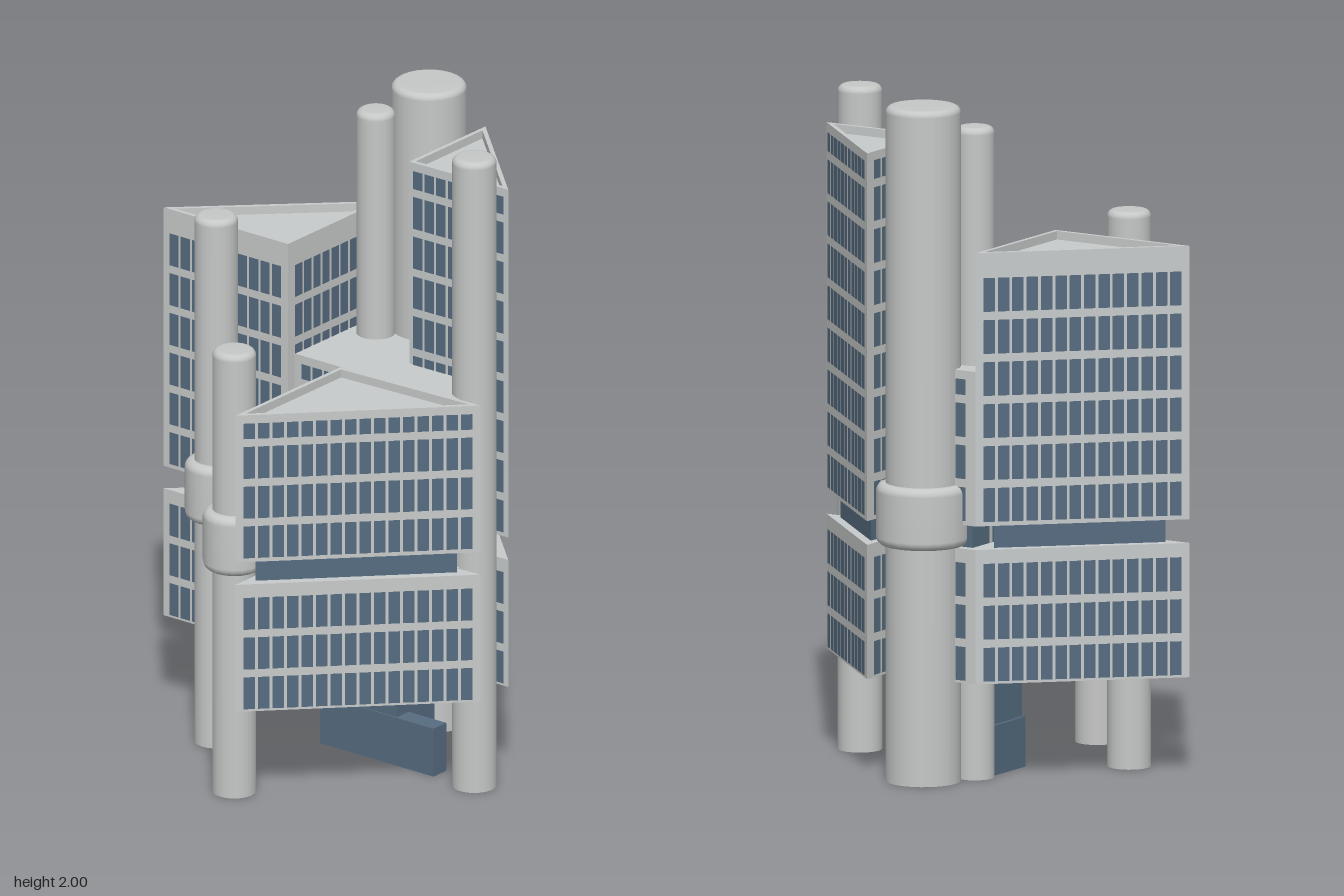
import * as THREE from 'three';
import { mergeGeometries } from 'three/addons/utils/BufferGeometryUtils.js';

const flat = (name, color) => {
  const m = new THREE.MeshStandardMaterial({ color });
  m.name = name;
  return m;
};

// Plans are [x, -z] corner lists, counter-clockwise from above.
const LEFT = [[-0.573, -0.05], [-0.11, -0.05], [-0.11, 0.383]];
const BACK = [[0.2, 0.128], [0.563, 0.135], [0.2, 0.483]];
const FRONT = [[0.065, -0.515], [0.572, -0.006], [0.065, -0.025]];
const CORE = [[-0.11, -0.02], [0.065, -0.02], [0.49, -0.006], [0.49, 0.13],
  [0.2, 0.128], [0.2, 0.383], [-0.11, 0.383]];

// Move every edge of a plan inwards by d.
function inset(plan, d) {
  const n = plan.length;
  const unit = (a, b) => {
    const l = Math.hypot(b[0] - a[0], b[1] - a[1]);
    return [(b[0] - a[0]) / l, (b[1] - a[1]) / l];
  };
  return plan.map((p, i) => {
    const u = unit(plan[(i + n - 1) % n], p), v = unit(p, plan[(i + 1) % n]);
    const cross = u[0] * v[1] - u[1] * v[0];
    const k = d / cross;
    return [p[0] + (v[0] - u[0]) * k, p[1] + (v[1] - u[1]) * k];
  });
}

function prism(plan, y0, y1, hole) {
  const toVec = (p) => new THREE.Vector2(p[0], p[1]);
  const shape = new THREE.Shape(plan.map(toVec));
  if (hole) shape.holes.push(new THREE.Path(hole.map(toVec)));
  const g = new THREE.ExtrudeGeometry(shape, { depth: y1 - y0, bevelEnabled: false });
  return g.rotateX(-Math.PI / 2).translate(0, y0, 0);
}

// Rows of panes on the chosen edges; the top row is cut short below the parapet.
function windows(plan, y0, y1, edges) {
  const panes = [], pitch = 0.0425, rowPitch = 0.1245;
  for (const i of edges) {
    const a = plan[i], b = plan[(i + 1) % plan.length];
    const dx = b[0] - a[0], dy = b[1] - a[1], len = Math.hypot(dx, dy);
    const count = Math.round((len - 0.04) / pitch);
    const nx = dy / len, nz = dx / len;
    for (let y = y0 + 0.01; y < y1 - 0.06; y += rowPitch) {
      const h = Math.min(0.1, y1 - 0.025 - y);
      for (let c = 0; c < count; c++) {
        const t = 0.5 + ((c - (count - 1) / 2) * pitch) / len;
        panes.push(new THREE.PlaneGeometry(0.034, h)
          .rotateY(Math.atan2(nx, nz))
          .translate(a[0] + dx * t + nx * 0.003, y + h / 2, -(a[1] + dy * t) + nz * 0.003));
      }
    }
  }
  return mergeGeometries(panes);
}

// Quarter-round corner for lathe profiles.
function corner(r, y, bevel, from, to) {
  const pts = [];
  for (let i = 0; i <= 4; i++) {
    const a = from + ((to - from) * i) / 4;
    pts.push(new THREE.Vector2(r - bevel + bevel * Math.cos(a), y + bevel * Math.sin(a)));
  }
  return pts;
}

export function createModel() {
  const concrete = flat('concrete', 0xc8cbcb);
  const shaftGrey = flat('shaft grey', 0xc6c7c7);
  const glass = flat('blue glass', 0x566c80);
  const model = new THREE.Group();
  const add = (parent, name, geometry, material) => {
    const mesh = new THREE.Mesh(geometry, material);
    mesh.name = name;
    parent.add(mesh);
    return mesh;
  };

  // Triangular towers and core, each split by a recessed glazed storey
  const blocks = [
    ['leftTower', LEFT, 1.58, [0, 1, 2], true],
    ['backTower', BACK, 1.86, [0, 1, 2], true],
    ['frontTower', FRONT, 1.23, [0, 1, 2], true],
    ['core', CORE, 1.228, [0, 5], false],
  ];
  for (const [name, plan, top, edges, parapet] of blocks) {
    const g = new THREE.Group();
    g.name = name;
    const roof = parapet ? top - 0.025 : top;
    add(g, 'lowerBody', prism(plan, 0.302, 0.7), concrete);
    add(g, 'recessedStorey', prism(inset(plan, 0.026), 0.7, 0.77), glass);
    add(g, 'upperBody', prism(plan, 0.77, roof), concrete);
    if (parapet) add(g, 'parapet', prism(plan, roof, top, inset(plan, 0.013)), concrete);
    add(g, 'lowerWindows', windows(plan, 0.3, 0.7, edges), glass);
    add(g, 'upperWindows', windows(plan, 0.773, top, edges), glass);
    model.add(g);
  }

  // Round service shafts, open at the foot; some wear a thick collar
  const shafts = [
    ['leftShaft', -0.312, 0.132, 0.064, 1.65, 0.092],
    ['frontShaft', -0.025, 0.407, 0.064, 1.385, 0.092],
    ['rightShaft', 0.493, -0.064, 0.065, 1.97, 0],
    ['innerShaft', -0.028, -0.257, 0.057, 1.93, 0],
    ['mainShaft', 0.07, -0.383, 0.11, 2.0, 0.138],
  ];
  for (const [name, x, z, r, top, collar] of shafts) {
    const g = new THREE.Group();
    g.name = name;
    g.position.set(x, 0, z);
    const q = Math.PI / 2;
    add(g, 'shaft', new THREE.LatheGeometry([
      new THREE.Vector2(r, 0), ...corner(r, top - 0.02, 0.02, 0, q), new THREE.Vector2(0, top),
    ], 24), shaftGrey);
    if (collar) {
      add(g, 'collar', new THREE.LatheGeometry([
        new THREE.Vector2(r - 0.01, 0.7), ...corner(collar, 0.725, 0.025, -q, 0),
        ...corner(collar, 0.86, 0.025, 0, q), new THREE.Vector2(r - 0.01, 0.885),
      ], 20), shaftGrey);
    }
    model.add(g);
  }

  // Bent ducts dropping from the two front collars
  const ducts = [
    ['leftDuct', [-0.26, 0.11], [-0.135, 0.06]],
    ['frontDuct', [-0.005, 0.37], [0.06, 0.268]],
  ];
  for (const [name, a, b] of ducts) {
    const at = (t, y) => new THREE.Vector3(a[0] + (b[0] - a[0]) * t, y, a[1] + (b[1] - a[1]) * t);
    const path = new THREE.CatmullRomCurve3(
      [at(0, 0.81), at(0.55, 0.8), at(0.82, 0.755), at(0.97, 0.7), at(1, 0.64)]);
    const g = new THREE.Group();
    g.name = name;
    add(g, 'pipe', new THREE.TubeGeometry(path, 10, 0.033, 12), shaftGrey);
    add(g, 'pipeEnd', new THREE.CircleGeometry(0.033, 12).rotateX(Math.PI / 2), shaftGrey)
      .position.set(b[0], 0.641, b[1]);
    model.add(g);
  }

  // Glazed entrance: a tall block with two low wings
  const box = (name, x0, x1, y1, z0, z1) =>
    add(model, name, new THREE.BoxGeometry(x1 - x0, y1, z1 - z0), glass)
      .position.set((x0 + x1) / 2, y1 / 2, (z0 + z1) / 2);
  box('entranceHall', -0.055, 0.22, 0.302, -0.22, -0.045);
  box('entranceSideWing', -0.06, 0.36, 0.15, -0.1, -0.04);
  box('entranceBackWing', -0.065, 0.06, 0.148, -0.29, -0.042);

  return model;
}
